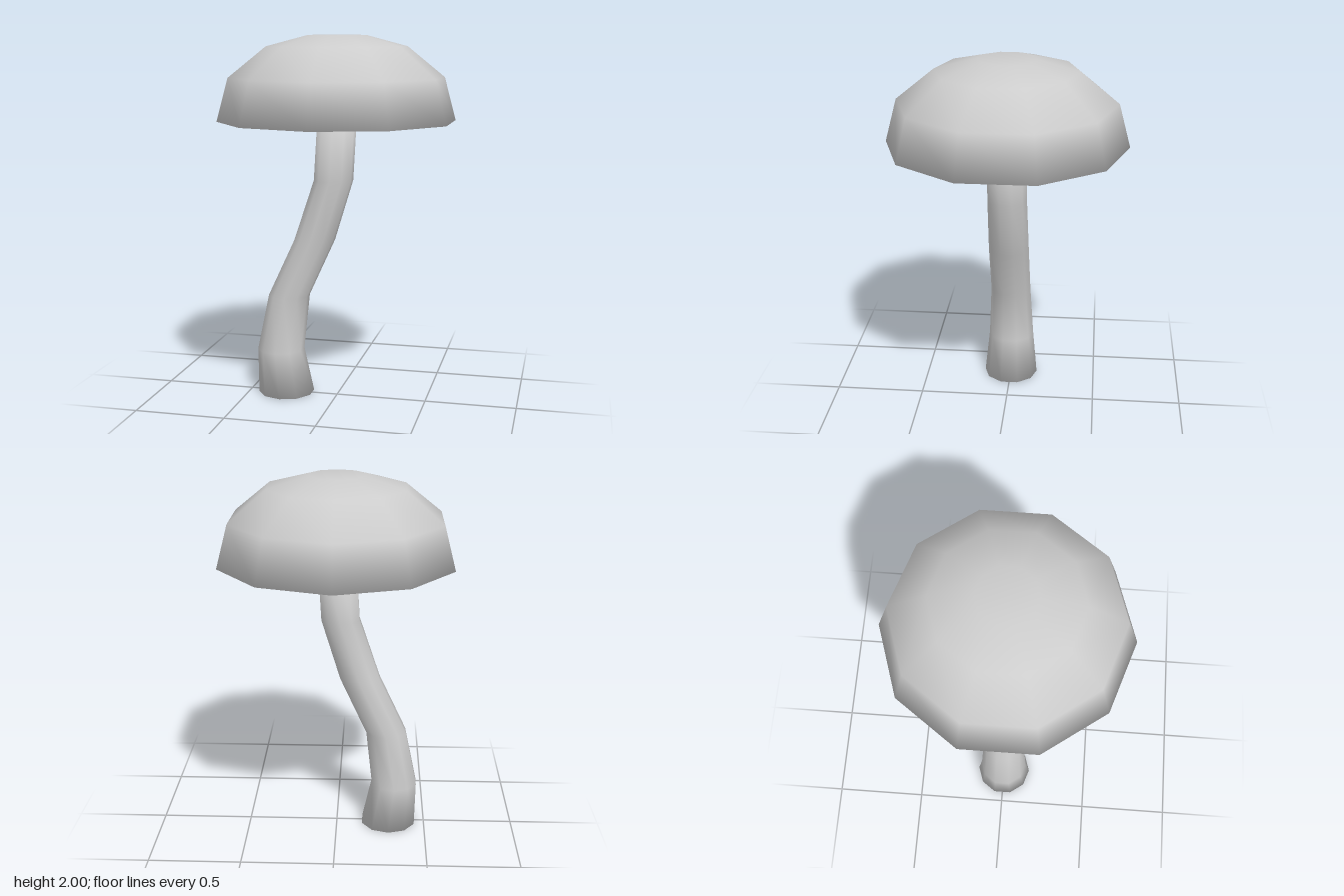
import * as THREE from 'three';

const SIDES = 10;

// Smooth normals: each face counts by its angle at the corner
function smoothNormals(points, index) {
  const normals = points.map(() => new THREE.Vector3());
  for (let t = 0; t < index.length; t += 3) {
    const tri = [0, 1, 2].map((k) => index[t + k]);
    const [a, b, c] = tri.map((i) => points[i]);
    const face = new THREE.Triangle(a, b, c).getNormal(new THREE.Vector3());
    tri.forEach((i, k) => {
      const toNext = points[tri[(k + 1) % 3]].clone().sub(points[i]);
      const toLast = points[tri[(k + 2) % 3]].clone().sub(points[i]);
      normals[i].addScaledVector(face, toNext.angleTo(toLast));
    });
  }
  return normals.map((n) => n.normalize());
}

// Ten-sided loft through level rings [radius, y, x], closed flat at both ends
function loft(rings) {
  const points = [];
  const index = [];
  for (const [r, y, x = 0] of rings) {
    for (let i = 0; i < SIDES; i++) {
      const angle = (i / SIDES) * Math.PI * 2;
      points.push(new THREE.Vector3(x + r * Math.sin(angle), y, r * Math.cos(angle)));
    }
  }
  // Walls
  for (let j = 0; j < rings.length - 1; j++) {
    for (let i = 0; i < SIDES; i++) {
      const a = j * SIDES + i;
      const b = j * SIDES + ((i + 1) % SIDES);
      index.push(a, b, a + SIDES, b + SIDES, a + SIDES, b);
    }
  }
  // End faces
  const top = (rings.length - 1) * SIDES;
  for (let i = 1; i < SIDES - 1; i++) {
    index.push(0, i + 1, i, top, top + i, top + i + 1);
  }
  const geometry = new THREE.BufferGeometry().setFromPoints(points);
  geometry.setIndex(index);
  const normals = smoothNormals(points, index).flatMap((n) => n.toArray());
  geometry.setAttribute('normal', new THREE.Float32BufferAttribute(normals, 3));
  return geometry;
}

export function createModel() {
  const model = new THREE.Group();
  model.name = 'mushroom';
  const grey = new THREE.MeshStandardMaterial({ color: 0xcccccc });
  grey.name = 'light grey';

  const add = (name, rings) => {
    const mesh = new THREE.Mesh(loft(rings), grey);
    mesh.name = name;
    model.add(mesh);
  };

  // Cap: flat underside, flared rim, flat crown
  add('cap', [[0.647, 1.543], [0.584, 1.775], [0.38, 1.94], [0.155, 2]]);

  // Stem: S-bent, wider at the foot, its end set into the cap
  add('stem', [
    [0.156, 0, -0.295], [0.131, 0.25, -0.325], [0.115, 0.565, -0.275],
    [0.113, 0.885, -0.127], [0.108, 1.22, -0.02], [0.107, 1.56, 0],
  ]);

  return model;
}
